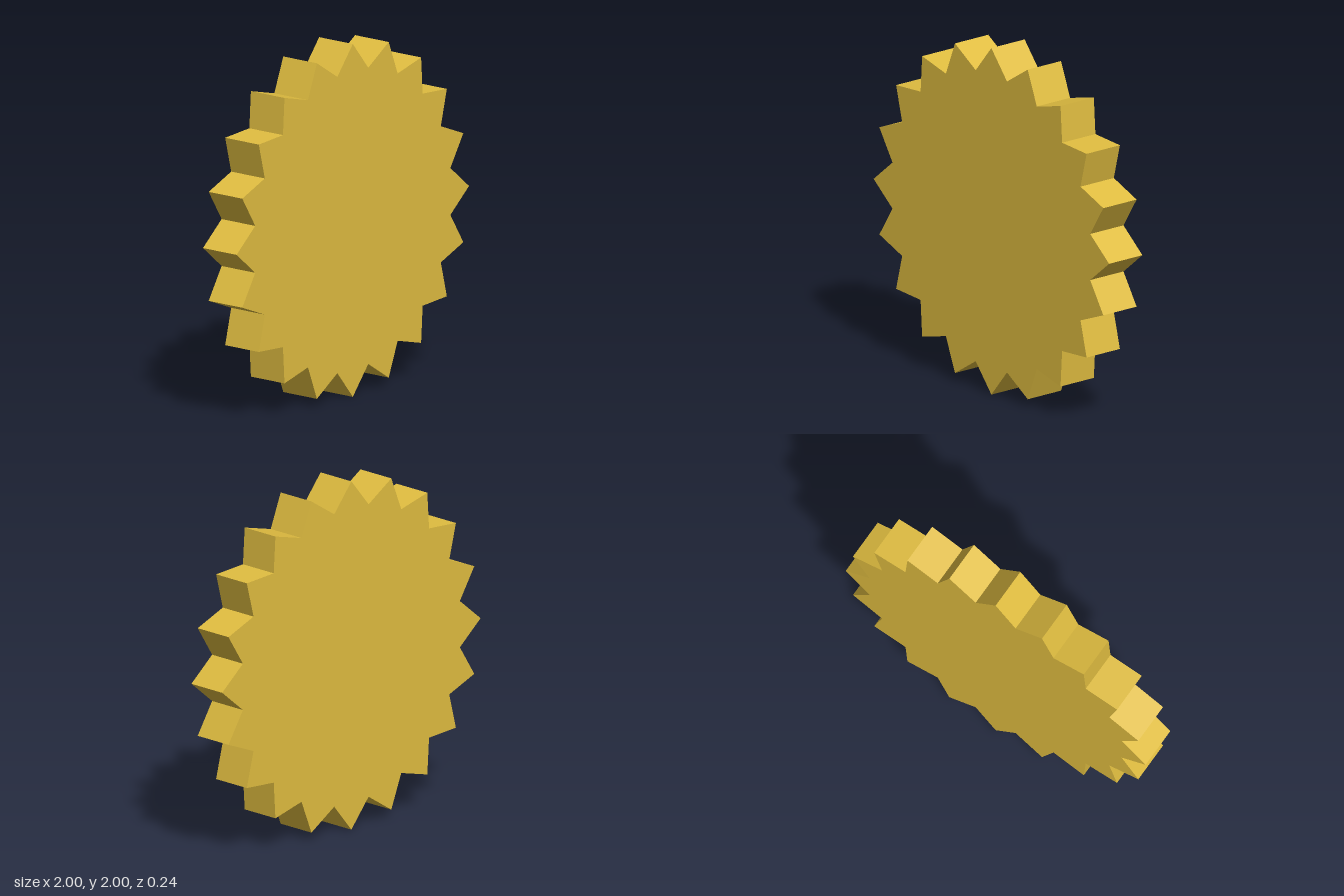
import * as THREE from 'three';

export function createModel() {
  const group = new THREE.Group();
  const points = 20, outer = 1, inner = 0.85, depth = 0.24;

  // Star outline: tips and notches alternate around the circle
  const outline = [];
  for (let i = 0; i < points * 2; i++) {
    const r = i % 2 ? inner : outer;
    const a = Math.PI / 2 + (i * Math.PI) / points;
    outline.push(new THREE.Vector2(r * Math.cos(a), r * Math.sin(a)));
  }

  // Flat starburst plate, standing upright
  const geometry = new THREE.ExtrudeGeometry(new THREE.Shape(outline), { depth, bevelEnabled: false });
  geometry.translate(0, outer, -depth / 2);
  const material = new THREE.MeshStandardMaterial({ color: 0xe0bd40, flatShading: true });
  const starburst = new THREE.Mesh(geometry, material);
  starburst.name = 'starburstPlate';
  group.add(starburst);
  return group;
}
